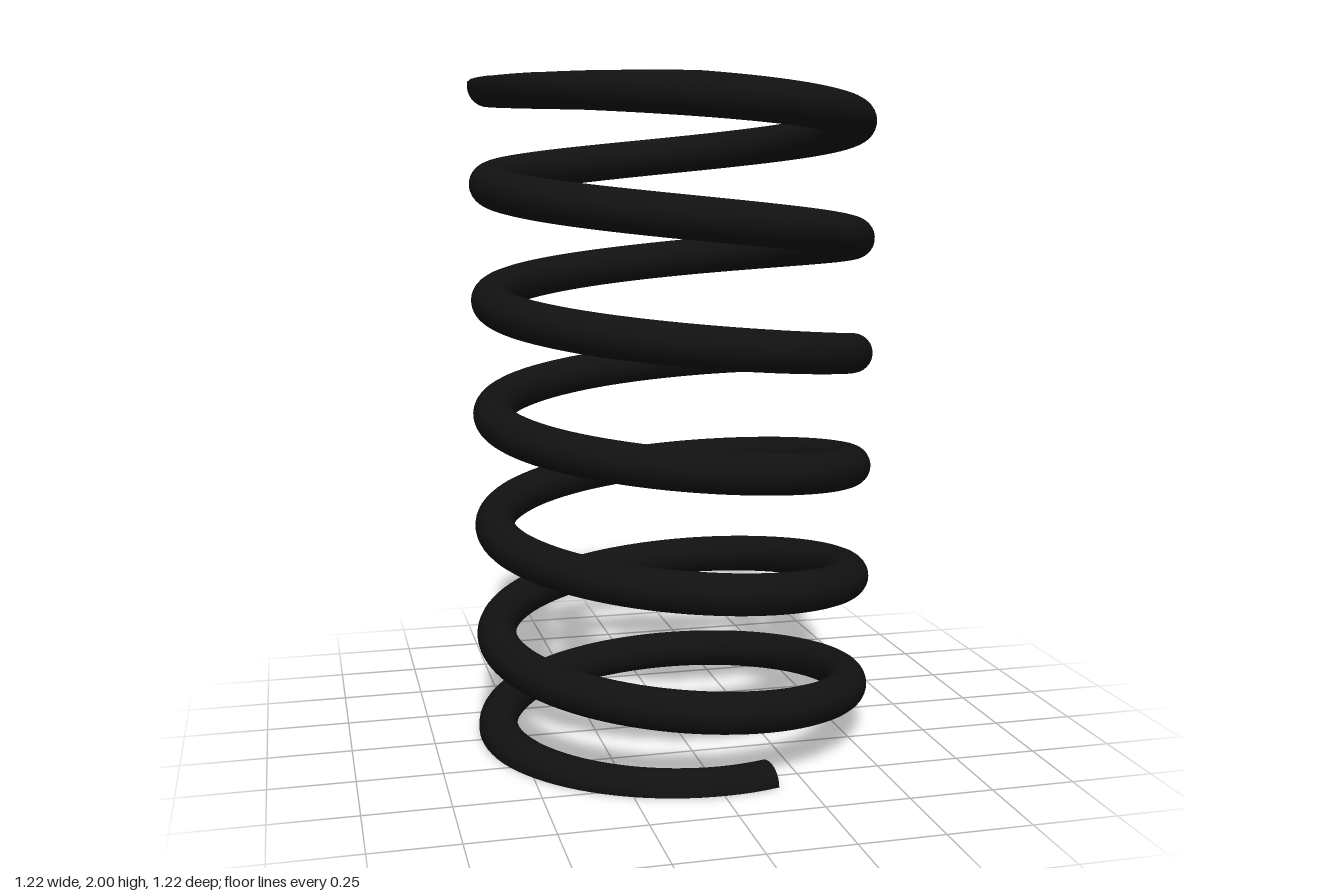
import * as THREE from 'three';
import { toCreasedNormals } from 'three/addons/utils/BufferGeometryUtils.js';

const COIL_R = 0.55, WIRE_R = 0.06, HEIGHT = 2;
const START = THREE.MathUtils.degToRad(74);     // angle of the lower wire end
const TURNS = 6 + 212 / 360;
const RAMP = 0.8;                               // turns over which the pitch eases in and out
const PITCH = HEIGHT / (TURNS - RAMP);

// Helix whose pitch grows from zero at each end
class CoilCurve extends THREE.Curve {
  getPoint(t, target = new THREE.Vector3()) {
    const n = t * TURNS, left = TURNS - n;
    let y = PITCH * (n - RAMP / 2);
    if (n < RAMP) y = PITCH * n * n / (2 * RAMP);
    else if (left < RAMP) y = HEIGHT - PITCH * left * left / (2 * RAMP);
    const a = START + n * Math.PI * 2;
    return target.set(COIL_R * Math.cos(a), y, COIL_R * Math.sin(a));
  }
}

export function createModel() {
  const group = new THREE.Group();
  group.name = 'coilSpring';
  const material = new THREE.MeshStandardMaterial({ color: 0x111111 });

  const curve = new CoilCurve();
  curve.arcLengthDivisions = 1200;

  // Wire, ground flat at the bottom and top
  const wire = new THREE.TubeGeometry(curve, 640, WIRE_R, 28, false);
  const pos = wire.attributes.position;
  for (let i = 0; i < pos.count; i++) {
    pos.setY(i, THREE.MathUtils.clamp(pos.getY(i), 0, HEIGHT));
  }
  const coil = new THREE.Mesh(toCreasedNormals(wire, 0.6), material);
  coil.name = 'coil';
  group.add(coil);

  // Half-round faces closing the two wire ends
  for (const [name, t, from] of [['lowerEnd', 0, 0], ['upperEnd', 1, Math.PI]]) {
    const cap = new THREE.Mesh(new THREE.CircleGeometry(WIRE_R, 14, from, Math.PI), material);
    const outward = curve.getTangent(t).setY(0).multiplyScalar(t ? 1 : -1);
    cap.name = name;
    cap.position.copy(curve.getPoint(t));
    cap.lookAt(cap.position.clone().add(outward));
    group.add(cap);
  }
  return group;
}
